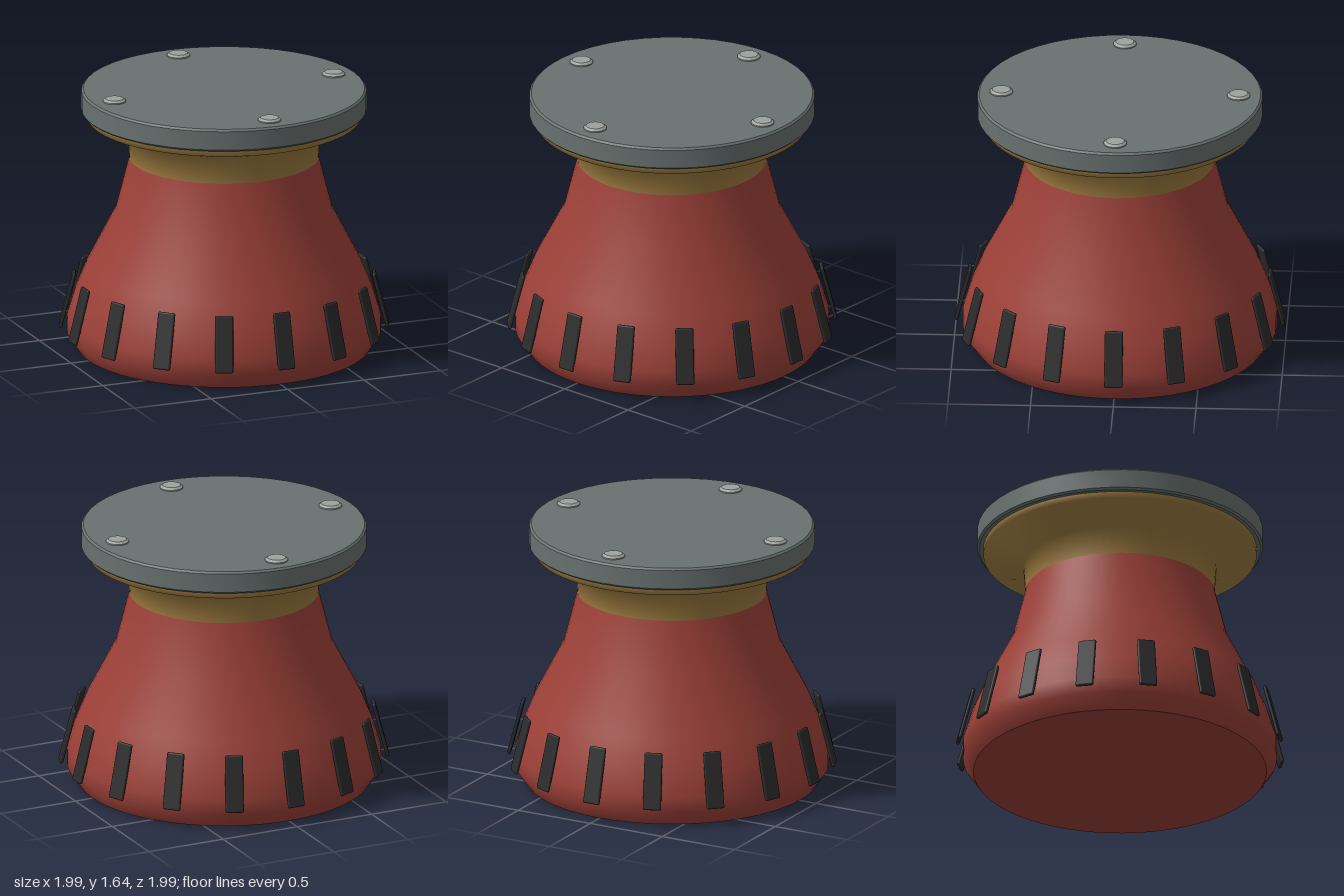
import * as THREE from 'three';
import { toCreasedNormals } from 'three/addons/utils/BufferGeometryUtils.js';
import { RoundedBoxGeometry } from 'three/addons/geometries/RoundedBoxGeometry.js';

const material = (name, color) => {
  const m = new THREE.MeshStandardMaterial({ color });
  m.name = name;
  return m;
};

// Revolve a list of [radius, height] points; sharp edges wider than the crease angle stay sharp
function turned(points, segments, crease = 0.6) {
  const profile = points.map(([r, y]) => new THREE.Vector2(r, y));
  return toCreasedNormals(new THREE.LatheGeometry(profile, segments), crease);
}

export function createModel() {
  const red = material('red paint', 0x9c4038);
  const brass = material('brass', 0x9c7a3f);
  const steel = material('grey steel', 0x687270);
  const bolt = material('light steel', 0x9ca39e);
  const rubber = material('black rubber', 0x2b2b2b);

  const model = new THREE.Group();
  model.name = 'pedestal';
  const add = (name, geometry, mat, parent = model) => {
    const mesh = new THREE.Mesh(geometry, mat);
    mesh.name = name;
    parent.add(mesh);
    return mesh;
  };

  // Flared body with a chamfered foot
  add('body', turned([
    [0, 0], [0.885, 0], [0.948, 0.09], [0.948, 0.19], [0.9, 0.35],
    [0.83, 0.52], [0.655, 0.86], [0.572, 1.19], [0, 1.19],
  ], 64, 0.85), red);

  // Brass neck widening under the plate
  add('neck', turned([
    [0, 1.19], [0.572, 1.19], [0.584, 1.36], [0.825, 1.44], [0.825, 1.48], [0, 1.48],
  ], 64, 1.3), brass);

  // Top plate with eased edges
  add('topPlate', turned([
    [0, 1.48], [0.85, 1.48], [0.862, 1.492], [0.862, 1.608], [0.85, 1.62], [0, 1.62],
  ], 48), steel);

  // Four bolt heads on the plate
  const boltGeometry = turned([
    [0, 1.61], [0.07, 1.61], [0.07, 1.627], [0.055, 1.639], [0, 1.639],
  ], 20);
  for (let i = 0; i < 4; i++) {
    const a = i * Math.PI / 2;
    add('bolt', boltGeometry, bolt).position.set(Math.sin(a) * 0.717, 0, Math.cos(a) * 0.717);
  }

  // Ring of leaning grip strips around the foot
  const strips = new THREE.Group();
  strips.name = 'gripStrips';
  model.add(strips);
  const stripGeometry = new RoundedBoxGeometry(0.11, 0.348, 0.022, 2, 0.01);
  for (let i = 0; i < 16; i++) {
    const holder = new THREE.Group();
    holder.name = 'gripStripHolder';
    holder.rotation.y = i * Math.PI / 8;
    strips.add(holder);
    const strip = add('gripStrip', stripGeometry, rubber, holder);
    strip.position.set(0, 0.29, 0.946);
    strip.rotation.x = -0.25;
  }
  return model;
}
